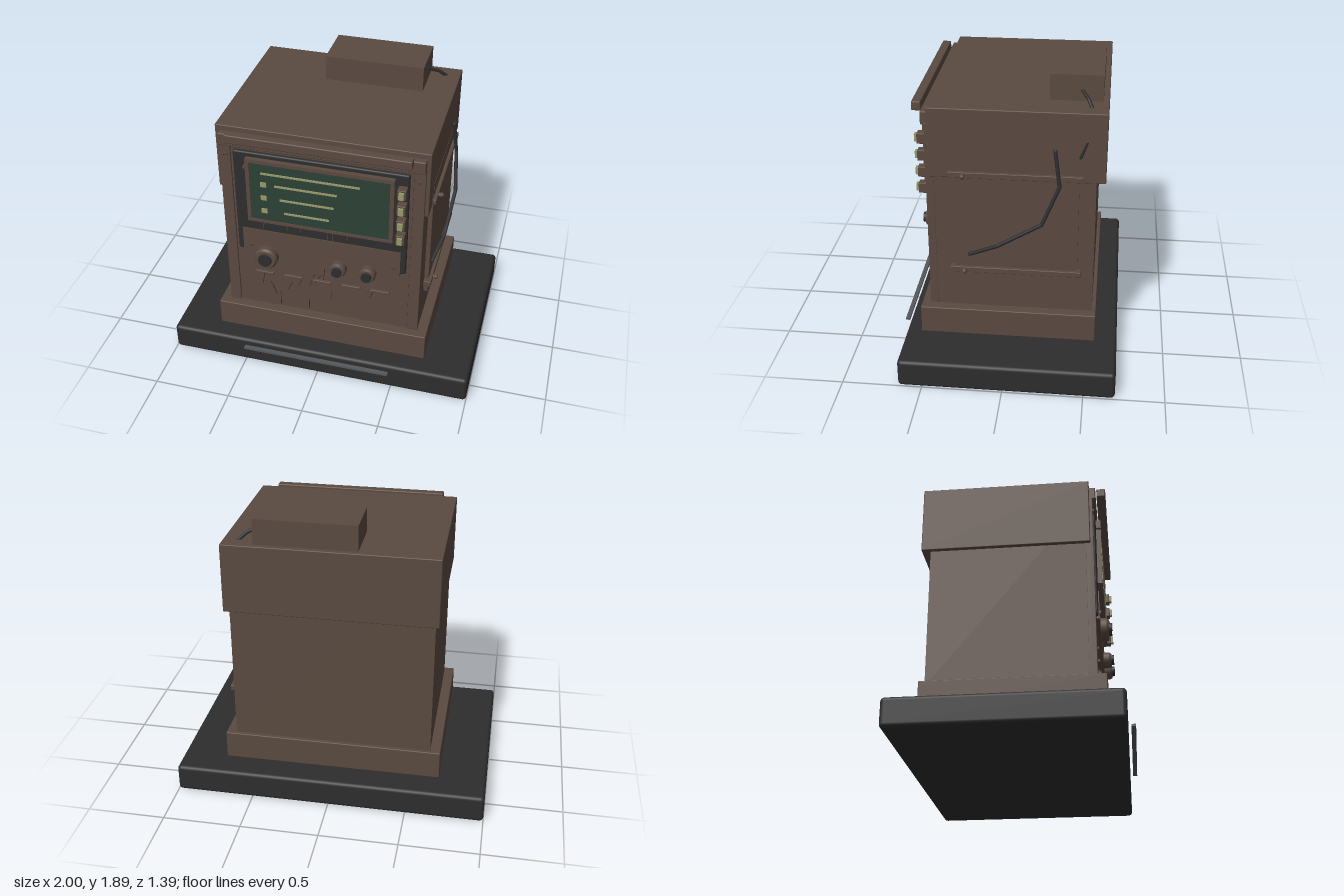
import * as THREE from 'three';
import { RoundedBoxGeometry } from 'three/addons/geometries/RoundedBoxGeometry.js';

const mat = (name, color) => {
  const m = new THREE.MeshStandardMaterial({ color });
  m.name = name;
  return m;
};

export function createModel() {
  const group = new THREE.Group();
  const brown = mat('brown casing', 0x5a4a40);
  const dark = mat('charcoal', 0x2d2d2d);
  const green = mat('screen green', 0x2c4036);
  const yellow = mat('pale lamp', 0x98986a);
  const steel = mat('grey strip', 0x55585c);
  const scratch = mat('dark scratch', 0x352b26);

  const add = (name, geo, material) => {
    const mesh = new THREE.Mesh(geo, material);
    mesh.name = name;
    group.add(mesh);
    return mesh;
  };
  // Box given by its limits; r rounds the edges
  const box = (name, m, x0, x1, y0, y1, z0, z1, r = 0) => {
    const s = [x1 - x0, y1 - y0, z1 - z0];
    const geo = r ? new RoundedBoxGeometry(...s, 3, r) : new THREE.BoxGeometry(...s);
    const mesh = add(name, geo, m);
    mesh.position.set((x0 + x1) / 2, (y0 + y1) / 2, (z0 + z1) / 2);
    return mesh;
  };
  // Disc facing the front
  const disc = (name, m, x, y, z0, z1, r, r2 = r) => {
    const mesh = add(name, new THREE.CylinderGeometry(r2, r, z1 - z0, 28), m);
    mesh.rotation.x = Math.PI / 2;
    mesh.position.set(x, y, (z0 + z1) / 2);
  };
  const screw = (x, y, z) => {
    disc('screw', brown, x, y, z - 0.005, z + 0.007, 0.016);
    box('screwSlot', scratch, x - 0.011, x + 0.011, y - 0.002, y + 0.002, z + 0.006, z + 0.008);
  };
  // Cable of straight pieces with round joints
  const cable = (name, pts, r) => {
    const v = pts.map(p => new THREE.Vector3(...p));
    v.forEach((p, i) => {
      add(name + 'Joint', new THREE.SphereGeometry(r, 10, 8), dark).position.copy(p);
      if (!i) return;
      const curve = new THREE.LineCurve3(v[i - 1], p);
      add(name, new THREE.TubeGeometry(curve, 1, r, 10), dark);
    });
  };

  // Base slab and plinth
  box('baseSlab', dark, -1, 1, 0, 0.18, -0.695, 0.65, 0.025);
  box('baseStrip', steel, -0.49, 0.485, 0.138, 0.152, 0.668, 0.695);
  box('plinth', brown, -0.7, 0.695, 0.205, 0.39, -0.555, 0.545, 0.006);

  // Cabinet, hood and front trim
  box('cabinet', brown, -0.635, 0.63, 0.38, 1.6, -0.53, 0.45);
  box('hood', brown, -0.66, 0.655, 1.29, 1.73, -0.585, 0.47, 0.006);
  box('frontPanel', brown, -0.565, 0.56, 0.39, 1.62, 0.44, 0.48);
  for (const s of [-1, 1]) {
    const c = s * 0.599 - 0.002;
    box('frontPost', brown, c - 0.035, c + 0.035, 0.39, 1.62, 0.44, 0.49, 0.004);
    screw(s * 0.597, 1.54, 0.49);
  }
  box('header', brown, -0.635, 0.63, 1.61, 1.695, 0.45, 0.51, 0.008);
  box('headerLip', brown, -0.565, 0.562, 1.67, 1.728, 0.515, 0.572, 0.008);
  box('roofBox', brown, -0.17, 0.46, 1.725, 1.89, -0.55, -0.235);

  // Control board with framed screen
  box('controlBoard', dark, -0.548, 0.54, 0.845, 1.585, 0.47, 0.502, 0.012);
  const frame = new THREE.Shape([[-0.462, 1.1], [0.457, 1.1], [0.457, 1.555], [-0.462, 1.555]]
    .map(p => new THREE.Vector2(...p)));
  frame.holes.push(new THREE.Path([[-0.437, 1.12], [-0.437, 1.532], [0.432, 1.532], [0.432, 1.12]]
    .map(p => new THREE.Vector2(...p))));
  add('screenFrame', new THREE.ExtrudeGeometry(frame, { depth: 0.033, bevelEnabled: false }), brown)
    .position.z = 0.5;
  box('screen', green, -0.437, 0.432, 1.12, 1.532, 0.495, 0.527);
  [[-0.365, 0.25, 1.465], [-0.28, 0.11, 1.385], [-0.25, 0.09, 1.288], [-0.225, 0.06, 1.192]]
    .forEach(([a, b, y], i) => {
      box('screenLine', yellow, a, b, y - 0.006, y + 0.006, 0.527, 0.534);
      if (i) box('screenMark', yellow, -0.37, -0.332, y - 0.016, y + 0.016, 0.527, 0.534);
    });
  for (const x of [-0.468, 0.45]) disc('frameScrew', brown, x, 1.495, 0.5, 0.536, 0.009);

  // Lamp buttons beside the screen
  for (const y of [1.477, 1.366, 1.257, 1.148]) {
    box('buttonBody', brown, 0.477, 0.532, y - 0.034, y + 0.034, 0.5, 0.556, 0.005);
    box('buttonLamp', yellow, 0.488, 0.52, y - 0.023, y + 0.023, 0.556, 0.572);
  }

  // Lower plate and knobs
  box('lowerPlate', brown, -0.512, 0.505, 0.83, 1.017, 0.475, 0.508);
  for (const x of [-0.46, 0.46]) screw(x, 0.89, 0.508);
  for (const [x, r, c] of [[-0.355, 0.075, 0.043], [0.115, 0.053, 0.033], [0.305, 0.053, 0.033]]) {
    disc('knobSkirt', brown, x, 0.825, 0.508, 0.545, r);
    disc('knobRim', brown, x, 0.825, 0.545, 0.56, r, r * 0.85);
    disc('knobCap', dark, x, 0.825, 0.55, 0.577, c);
  }
  for (let i = -2; i <= 2; i++) {
    const x = i * 0.191 - 0.003;
    box('ventRib', brown, x - 0.063, x + 0.063, 0.655, 0.672, 0.475, 0.498, 0.004);
  }

  // Scratches: x, y centre, length, tilt, z
  [[-0.4, 0.605, 0.1, -0.15, 0.48], [-0.34, 0.555, 0.06, 0.35, 0.48], [-0.325, 0.52, 0.07, 0.3, 0.48],
    [-0.287, 0.455, 0.11, 0, 0.48], [-0.22, 0.575, 0.07, -0.5, 0.48], [-0.15, 0.62, 0.06, -0.4, 0.48],
    [-0.093, 0.455, 0.09, 0, 0.48], [-0.07, 0.655, 0.11, -0.35, 0.48], [-0.03, 0.67, 0.08, -0.5, 0.48],
    [0.01, 0.72, 0.09, -0.1, 0.48], [0.06, 0.555, 0.07, 0, 0.48], [0.325, 0.625, 0.07, -0.3, 0.48],
    [-0.37, 1.065, 0.07, -0.1, 0.502], [-0.22, 1.07, 0.06, 0.1, 0.502], [-0.13, 1.075, 0.05, 0, 0.502],
    [0.04, 1.06, 0.09, 0.1, 0.502], [0.075, 1.06, 0.09, -0.1, 0.502], [0.17, 1.07, 0.06, -0.3, 0.502],
  ].forEach(([x, y, len, tilt, z]) => {
    const m = z > 0.5 ? brown : scratch;
    box('scratch', m, x - 0.002, x + 0.002, y - len / 2, y + len / 2, z - 0.002, z + 0.002)
      .rotation.z = tilt;
  });

  // Service door on the left side with two rails and latches
  box('serviceDoor', brown, 0.62, 0.657, 0.59, 1.43, -0.43, 0.32);
  for (const y of [0.672, 1.318]) {
    box('doorRail', brown, 0.63, 0.678, y - 0.018, y + 0.018, -0.455, 0.35, 0.004);
    const latch = add('latch', new THREE.CylinderGeometry(0.013, 0.013, 0.03, 16), brown);
    latch.rotation.z = Math.PI / 2;
    latch.position.set(0.688, y, 0.26);
    add('latchTip', new THREE.SphereGeometry(0.016, 14, 10), brown).position.set(0.695, y, 0.26);
  }

  // Loose cables
  cable('sideCable', [[0.668, 1.495, -0.285], [0.69, 1.275, -0.315], [0.718, 1.035, -0.215],
    [0.703, 0.865, 0.055], [0.66, 0.775, 0.23]], 0.012);
  cable('roofCable', [[0.455, 1.795, -0.425], [0.52, 1.765, -0.465], [0.565, 1.725, -0.488]], 0.011);
  cable('sideCableEnd', [[0.648, 1.55, -0.47], [0.652, 1.455, -0.433]], 0.01);

  return group;
}
